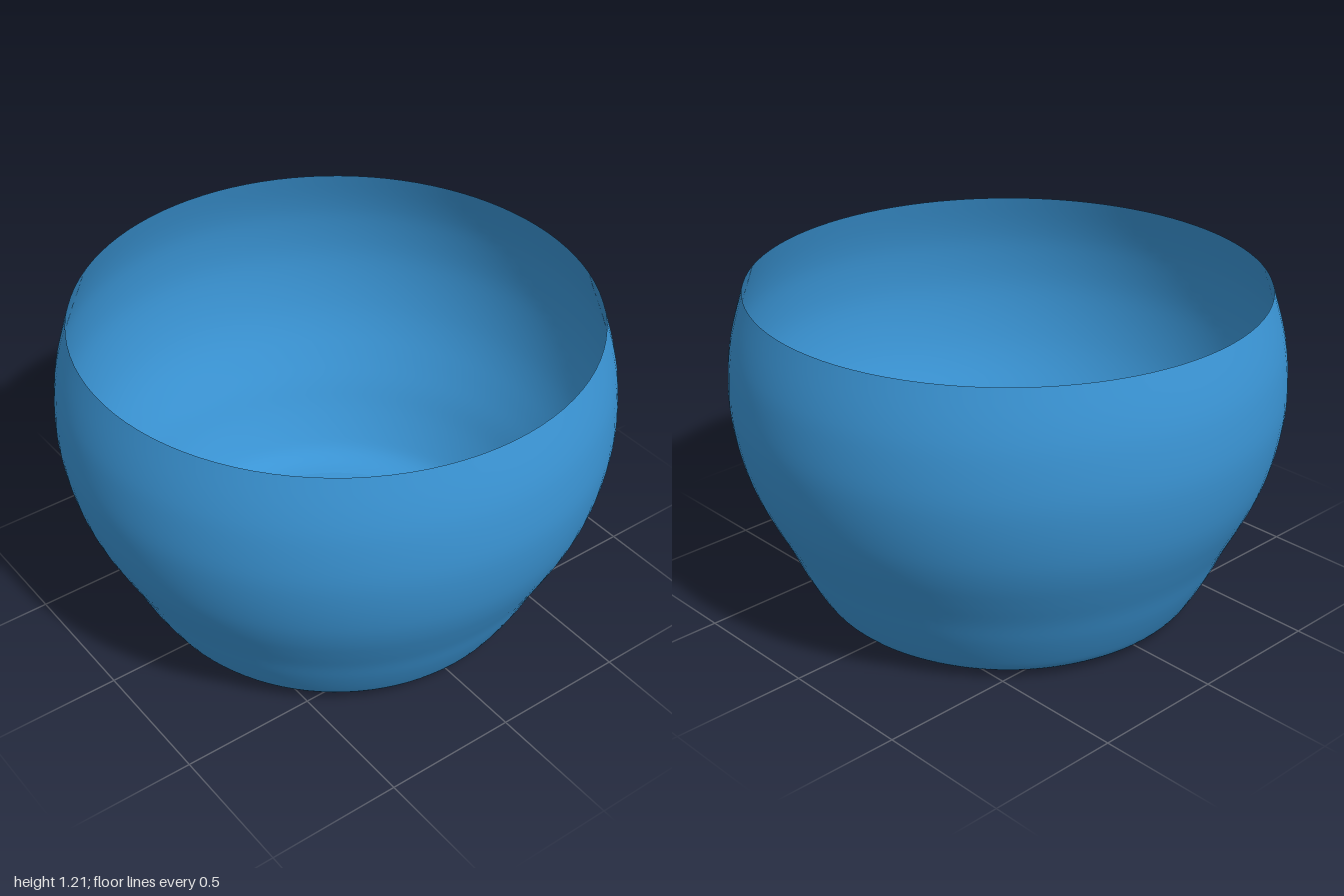
import * as THREE from 'three';

export function createModel() {
  const group = new THREE.Group();
  group.name = 'bowl';
  const material = new THREE.MeshStandardMaterial({ color: 0x3a94d4, side: THREE.DoubleSide });
  const segments = 96;
  const floorRadius = 0.6;

  // Thin wall: rounded foot, flared waist, full belly, rim drawn in
  const profile = new THREE.SplineCurve([
    [floorRadius, 0], [0.65, 0.012], [0.7, 0.045], [0.74, 0.105], [0.79, 0.2],
    [0.835, 0.3], [0.885, 0.4], [0.931, 0.5], [0.965, 0.6], [0.99, 0.72],
    [1, 0.84], [0.99, 0.98], [0.967, 1.09], [0.93, 1.21],
  ].map(([r, y]) => new THREE.Vector2(r, y)));
  const wall = new THREE.Mesh(new THREE.LatheGeometry(profile.getPoints(52), segments), material);
  wall.name = 'wall';

  // Flat floor, seen from inside and below
  const floorGeometry = new THREE.CircleGeometry(floorRadius, segments);
  floorGeometry.rotateX(Math.PI / 2);
  const floor = new THREE.Mesh(floorGeometry, material);
  floor.name = 'floor';

  group.add(wall, floor);
  return group;
}
